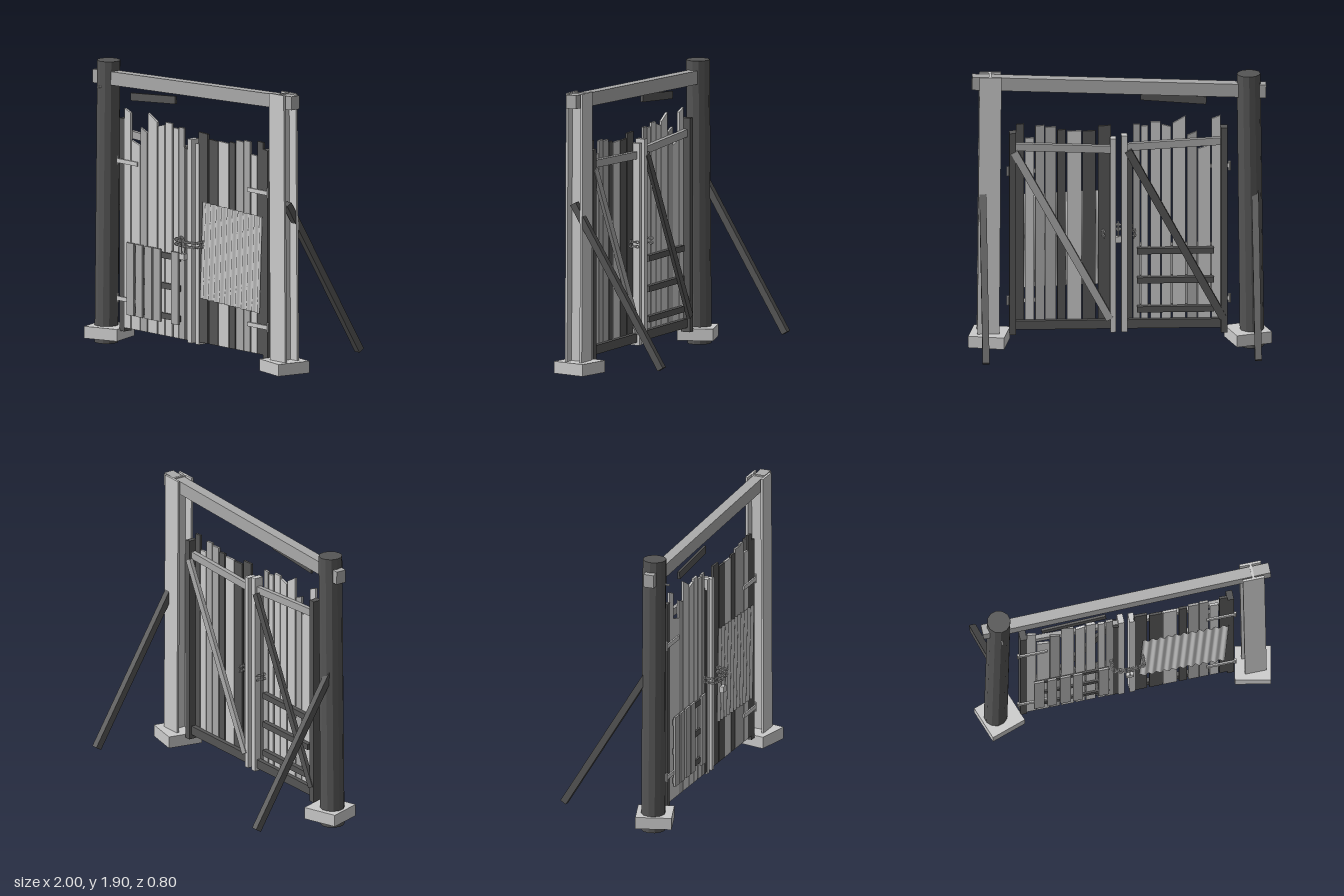
import * as THREE from 'three';

const tone = (c) => new THREE.MeshStandardMaterial({ color: c, flatShading: true });
const light = tone(0xcccccc), mid = tone(0xaaaaaa), dark = tone(0x555555);

function add(parent, name, geo, mat, x = 0, y = 0, z = 0) {
  const m = new THREE.Mesh(geo, mat);
  m.name = name;
  m.position.set(x, y, z);
  parent.add(m);
  return m;
}
const box = (parent, name, mat, w, h, d, x, y, z) =>
  add(parent, name, new THREE.BoxGeometry(w, h, d), mat, x, y, z);

// Bar in the xy plane between two points
function bar(parent, name, mat, [x1, y1], [x2, y2], h, d, z) {
  const len = Math.hypot(x2 - x1, y2 - y1);
  const m = box(parent, name, mat, len, h, d, (x1 + x2) / 2, (y1 + y2) / 2, z);
  m.rotation.z = Math.atan2(y2 - y1, x2 - x1);
  return m;
}

// Upright board whose top edge may slope
function board(parent, name, mat, x1, x2, y0, topL, topR, z, d) {
  const s = new THREE.Shape([[x1, y0], [x2, y0], [x2, topR], [x1, topL]].map((p) => new THREE.Vector2(...p)));
  add(parent, name, new THREE.ExtrudeGeometry(s, { depth: d, bevelEnabled: false }), mat, 0, 0, z);
}

function addPosts(g) {
  // Round timber post, leaning slightly
  const post = add(g, 'roundPost', new THREE.CylinderGeometry(0.078, 0.08, 1.89, 12), dark, -0.866, 0.945, 0.25);
  post.rotation.z = -0.012;
  const nail = add(g, 'nail', new THREE.CylinderGeometry(0.007, 0.007, 0.05, 6), light, -0.85, 1.72, 0.33);
  nail.rotation.x = Math.PI / 2;

  // Steel post with an H section
  const steel = new THREE.Group();
  steel.name = 'steelPost';
  steel.position.set(0.855, 0.98, 0.255);
  steel.rotation.z = 0.008;
  g.add(steel);
  for (const s of [-1, 1]) box(steel, 'flange', light, 0.145, 1.84, 0.016, 0, 0, s * 0.054);
  box(steel, 'web', light, 0.016, 1.84, 0.1, 0, 0, 0);

  // Footings
  for (const [x, r, w] of [[-0.85, 0.33, 0.245], [0.855, -0.2, 0.24]])
    box(g, 'footing', light, w, 0.08, 0.24, x, 0.075, 0.25).rotation.y = r;

  // Back struts
  for (const x of [-0.895, 0.898]) {
    const strut = box(g, 'backStrut', dark, 0.045, 1.24, 0.045, x, 0.637, -0.057);
    strut.rotation.x = Math.atan2(0.647, 1.06);
  }

  // Lintel and loose board under it
  bar(g, 'lintel', mid, [-0.968, 1.772], [0.968, 1.852], 0.09, 0.072, 0.255);
  bar(g, 'looseBoard', dark, [-0.578, 1.688], [-0.145, 1.724], 0.052, 0.016, 0.302);
}

function addLeftLeaf(g) {
  const leaf = new THREE.Group();
  leaf.name = 'leftHandLeaf';
  g.add(leaf);
  board(leaf, 'hingeStile', dark, -0.715, -0.67, 0.1, 1.525, 1.525, 0.215, 0.065);
  board(leaf, 'meetingStile', light, -0.055, -0.015, 0.11, 1.475, 1.475, 0.215, 0.065);
  const planks = [
    [-0.67, -0.61, 1.595, 1.572, light], [-0.605, -0.52, 1.39, 1.365, light],
    [-0.515, -0.45, 1.487, 1.46, mid], [-0.44, -0.355, 1.595, 1.545, light],
    [-0.343, -0.28, 1.52, 1.538, light], [-0.273, -0.21, 1.555, 1.555, light],
    [-0.193, -0.147, 1.53, 1.527, light], [-0.14, -0.093, 1.54, 1.54, mid],
    [-0.091, -0.045, 1.415, 1.395, dark],
  ];
  for (const [a, b, l, r, m] of planks) board(leaf, 'plank', m, a, b, 0.125, l, r, 0.262, 0.016);
  bar(leaf, 'topRail', mid, [-0.67, 1.425], [-0.05, 1.39], 0.05, 0.03, 0.247);
  bar(leaf, 'bottomRail', dark, [-0.67, 0.16], [-0.05, 0.16], 0.06, 0.03, 0.247);
  bar(leaf, 'brace', dark, [-0.06, 1.37], [-0.685, 0.2], 0.05, 0.025, 0.222);

  // Pallet patch with one slat missing
  for (const y of [0.665, 0.462, 0.26]) box(leaf, 'palletRail', dark, 0.505, 0.04, 0.06, -0.372, y, 0.26);
  for (const [a, b] of [[-0.627, -0.557], [-0.537, -0.475], [-0.45, -0.38], [-0.365, -0.3], [-0.193, -0.123]])
    board(leaf, 'palletSlat', mid, a, b, 0.22, 0.705, 0.705, 0.288, 0.014);
}

function addRightLeaf(g) {
  const leaf = new THREE.Group();
  leaf.name = 'rightHandLeaf';
  g.add(leaf);
  board(leaf, 'meetingStile', light, 0.02, 0.057, 0.11, 1.455, 1.455, 0.215, 0.065);
  board(leaf, 'hingeStile', dark, 0.678, 0.722, 0.1, 1.505, 1.5, 0.215, 0.065);
  const planks = [
    [0.05, 0.138, 1.535, dark], [0.153, 0.24, 1.5, dark], [0.245, 0.34, 1.5, light],
    [0.352, 0.405, 1.51, dark], [0.415, 0.487, 1.53, mid], [0.49, 0.55, 1.54, mid],
    [0.56, 0.618, 1.455, light], [0.625, 0.678, 1.552, dark],
  ];
  for (const [a, b, t, m] of planks) board(leaf, 'plank', m, a, b, 0.128, t, t - 0.004, 0.262, 0.016);
  bar(leaf, 'topRail', mid, [0.05, 1.375], [0.68, 1.4], 0.05, 0.03, 0.247);
  bar(leaf, 'bottomRail', dark, [0.05, 0.16], [0.68, 0.16], 0.06, 0.03, 0.247);
  bar(leaf, 'brace', mid, [0.69, 1.37], [0.06, 0.2], 0.05, 0.025, 0.222);

  // Corrugated sheet patch
  const geo = new THREE.PlaneGeometry(0.58, 0.65, 88, 1);
  const p = geo.attributes.position;
  for (let i = 0; i < p.count; i++) p.setZ(i, 0.007 * Math.sin((p.getX(i) / 0.58) * 11 * Math.PI * 2));
  geo.computeVertexNormals();
  const sheetMat = new THREE.MeshStandardMaterial({ color: 0xcccccc, side: THREE.DoubleSide });
  add(leaf, 'corrugatedSheet', geo, sheetMat, 0.382, 0.74, 0.292).rotation.z = -0.04;
}

// Strap hinges with barrels at the outer ends
function addHinges(g) {
  for (const [s, ys] of [[-1, [1.238, 0.317]], [1, [1.217, 0.317]]])
    for (const y of ys) {
      box(g, 'hingeStrap', light, 0.195, 0.028, 0.01, s * 0.633, y, 0.286);
      add(g, 'hingeBarrel', new THREE.CylinderGeometry(0.009, 0.009, 0.062, 8), light, s * 0.73, y, 0.284);
    }
}

// Two strands of chain around the meeting stiles, and a padlock
function addChain(g) {
  const chain = new THREE.Group();
  chain.name = 'chain';
  g.add(chain);
  const link = new THREE.TorusGeometry(0.0095, 0.0035, 5, 10);
  link.scale(1.5, 1, 1);
  const xAxis = new THREE.Vector3(1, 0, 0);
  for (const y of [0.805, 0.775]) {
    const pts = [[-0.1, 0.21], [-0.105, 0.3], [-0.1, 0.35], [-0.06, 0.362], [0, 0.37],
      [0.06, 0.362], [0.1, 0.35], [0.105, 0.3], [0.1, 0.21]];
    const path = new THREE.CatmullRomCurve3(pts.map(([x, z]) => new THREE.Vector3(x, y, z)));
    const n = 24;
    for (let i = 0; i <= n; i++) {
      const m = add(chain, 'chainLink', link, light);
      m.position.copy(path.getPointAt(i / n));
      m.quaternion.setFromUnitVectors(xAxis, path.getTangentAt(i / n));
      m.rotateX((i % 2) * Math.PI / 2 + 0.3);
    }
  }
  const lock = new THREE.Group();
  lock.name = 'padlock';
  lock.position.set(0, 0.705, 0.37);
  g.add(lock);
  box(lock, 'lockBody', light, 0.05, 0.042, 0.028, 0, 0, 0);
  const hoop = new THREE.CatmullRomCurve3([[0.015, -0.012], [0.1, -0.014], [0.123, 0], [0.1, 0.014], [0.015, 0.012]]
    .map(([y, z]) => new THREE.Vector3(0, y, z)));
  add(lock, 'shackle', new THREE.TubeGeometry(hoop, 20, 0.004, 6), light);
}

export function createModel() {
  const g = new THREE.Group();
  g.name = 'gate';
  addPosts(g);
  addLeftLeaf(g);
  addRightLeaf(g);
  addHinges(g);
  addChain(g);
  return g;
}
